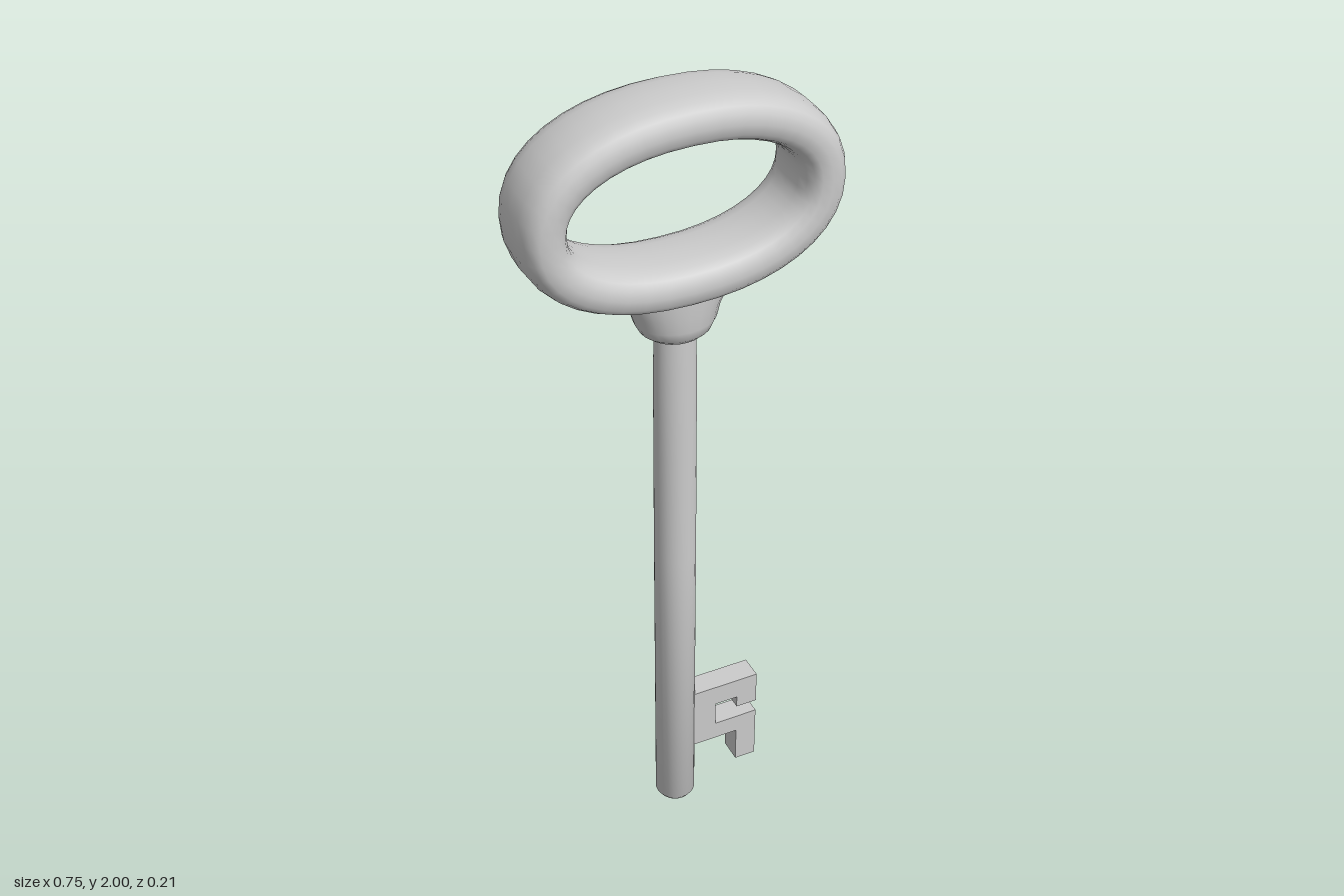
import * as THREE from 'three';
import { toCreasedNormals } from 'three/addons/utils/BufferGeometryUtils.js';

const material = new THREE.MeshStandardMaterial({ color: 0xcccccc, roughness: 0.6 });

function part(name, geometry) {
  const mesh = new THREE.Mesh(geometry, material);
  mesh.name = name;
  return mesh;
}

// Point on a rounded-off ellipse; a higher power gives a boxier curve
function superEllipse(t, a, b, power) {
  const bend = (v) => Math.sign(v) * Math.abs(v) ** (2 / power);
  return new THREE.Vector2(a * bend(Math.cos(t)), b * bend(Math.sin(t)));
}

// Closed band: a rounded section swept around an oval in the xy plane
function bowGeometry(segments = 40, sides = 20) {
  const positions = [], index = [];
  const oval = (i) => superEllipse((i / segments) * Math.PI * 2, 0.32, 0.1875, 2.2);
  for (let i = 0; i < segments; i++) {
    const centre = oval(i);
    const along = oval(i + 1).sub(oval(i - 1)).normalize();
    for (let j = 0; j < sides; j++) {
      const s = superEllipse((j / sides) * Math.PI * 2, 0.054, 0.103, 2.7);
      positions.push(centre.x + along.y * s.x, centre.y - along.x * s.x, s.y);
      const i2 = (i + 1) % segments, j2 = (j + 1) % sides;
      const a = i * sides + j, b = i2 * sides + j, c = i2 * sides + j2, d = i * sides + j2;
      index.push(a, b, c, a, c, d);
    }
  }
  const geometry = new THREE.BufferGeometry();
  geometry.setAttribute('position', new THREE.Float32BufferAttribute(positions, 3));
  geometry.setIndex(index);
  geometry.computeVertexNormals();
  return geometry;
}

// Turned profile whose depth is scaled by a rule of height
function turned(points, depthAt, sides = 24) {
  const geometry = new THREE.LatheGeometry(points.map(([r, y]) => new THREE.Vector2(r, y)), sides);
  const p = geometry.attributes.position;
  for (let i = 0; i < p.count; i++) p.setZ(i, p.getZ(i) * depthAt(p.getY(i)));
  return toCreasedNormals(geometry, 0.7);
}

export function createModel() {
  const key = new THREE.Group();
  key.name = 'key';

  // Oval handle
  const bow = part('bow', bowGeometry());
  bow.position.y = 1.759;
  key.add(bow);

  // Flared collar, wider than deep towards the handle
  key.add(part('collar', turned(
    [[0, 1.422], [0.066, 1.422], [0.082, 1.434], [0.095, 1.458], [0.105, 1.49], [0.125, 1.525], [0.14, 1.56], [0, 1.56]],
    (y) => THREE.MathUtils.mapLinear(y, 1.422, 1.56, 0.9, 0.55),
  )));

  // Round shaft, slightly thinner in depth at the top
  key.add(part('shaft', turned(
    [[0, 0], [0.042, 0], [0.05, 0.012], [0.05, 0.8], [0.05, 1.1], [0.05, 1.3], [0.048, 1.44], [0, 1.44]],
    (y) => 1 - 0.12 * THREE.MathUtils.smoothstep(y, 0.8, 1.44),
  )));

  // Toothed bit: one outline, cut straight through
  const outline = [
    [0.03, 0.34], [0.03, 0.165], [0.16, 0.165], [0.16, 0.065], [0.215, 0.065], [0.215, 0.215],
    [0.1, 0.215], [0.1, 0.283], [0.16, 0.283], [0.16, 0.25], [0.215, 0.25], [0.215, 0.34],
  ].map(([x, y]) => new THREE.Vector2(x, y));
  const bit = part('bit', new THREE.ExtrudeGeometry(new THREE.Shape(outline), { depth: 0.06, bevelEnabled: false }));
  bit.position.z = -0.03;
  key.add(bit);

  return key;
}
